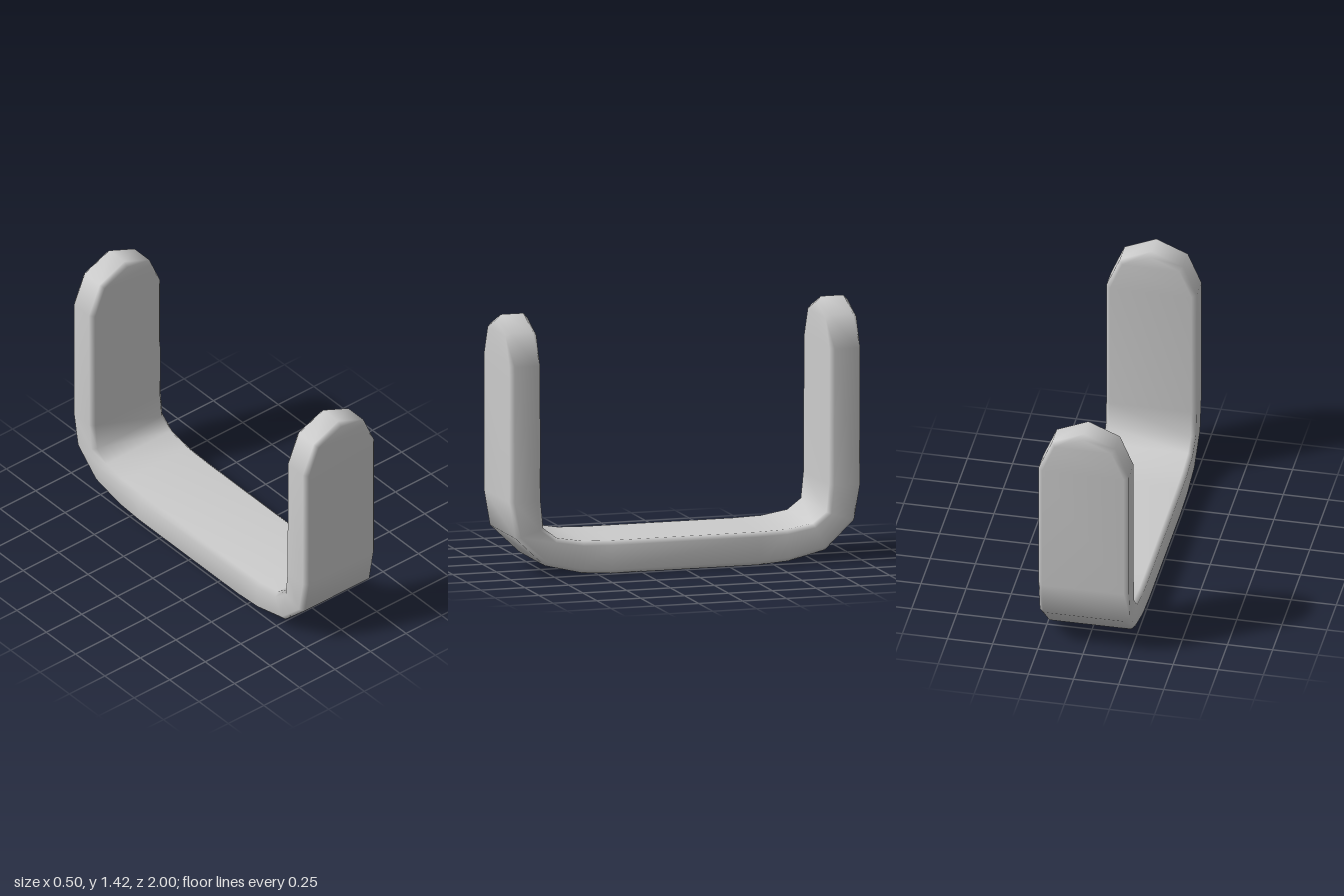
import * as THREE from 'three';
import { mergeVertices } from 'three/addons/utils/BufferGeometryUtils.js';

const BEVEL = 0.024;

// One half of the strap, from the front tip to the middle of the base.
// outer / inner: [z, y] of the two broad sides; hw: half width.
// The tip stations also give the inset outline of the broad faces as face: [half width, y].
const HALF = [
  { outer: [1, 1.42], inner: [0.825, 1.42], hw: 0, face: [0, 1.395] },
  { outer: [1, 1.345], inner: [0.825, 1.345], hw: 0.175, face: [0.158, 1.327] },
  { outer: [1, 1.17], inner: [0.825, 1.17], hw: 0.25, face: [0.226, 1.165] },
  { outer: [1, 0.42], inner: [0.822, 0.42], hw: 0.25 },
  { outer: [0.965, 0.22], inner: [0.807, 0.27], hw: 0.25 },
  { outer: [0.80, 0.063], inner: [0.73, 0.212], hw: 0.25 },
  { outer: [0.59, 0.012], inner: [0.58, 0.187], hw: 0.25 },
  { outer: [0.42, 0], inner: [0.42, 0.182], hw: 0.25 },
];

// Eight-cornered bevelled cross-section at one station
function section({ outer, inner, hw, face }) {
  const [oz, oy] = outer, [iz, iy] = inner;
  const t = BEVEL / Math.hypot(oz - iz, oy - iy);
  const rim = (k) => [hw, oy + (iy - oy) * k, oz + (iz - oz) * k];
  const fw = face ? face[0] : hw - BEVEL;
  const side = [
    [fw, face ? face[1] : oy, oz],
    rim(t),
    rim(1 - t),
    [fw, face ? face[1] : iy, iz],
  ];
  const mirrored = side.map(([x, y, z]) => [-x, y, z]).reverse();
  return [...side, ...mirrored];
}

function strapGeometry() {
  const flip = ([z, y]) => [-z, y];
  const back = HALF.map((s) => ({ ...s, outer: flip(s.outer), inner: flip(s.inner) })).reverse();
  const stations = [...HALF, ...back];
  const positions = stations.flatMap((s) => section(s).flat());
  const index = [];
  for (let i = 0; i < stations.length - 1; i++) {
    for (let j = 0; j < 8; j++) {
      const a = i * 8 + j, b = i * 8 + ((j + 1) % 8);
      const c = b + 8, d = a + 8;
      index.push(a, c, b, a, d, c);
    }
  }
  const geometry = new THREE.BufferGeometry();
  geometry.setAttribute('position', new THREE.Float32BufferAttribute(positions, 3));
  geometry.setIndex(index);
  // weld the two sides where they meet at the tips, then smooth
  const welded = mergeVertices(geometry, 1e-4);
  welded.computeVertexNormals();
  return welded;
}

export function createModel() {
  const group = new THREE.Group();
  group.name = 'uBracket';
  const strap = new THREE.Mesh(strapGeometry(), new THREE.MeshStandardMaterial({ color: 0xcccccc }));
  strap.name = 'strap';
  group.add(strap);
  return group;
}
